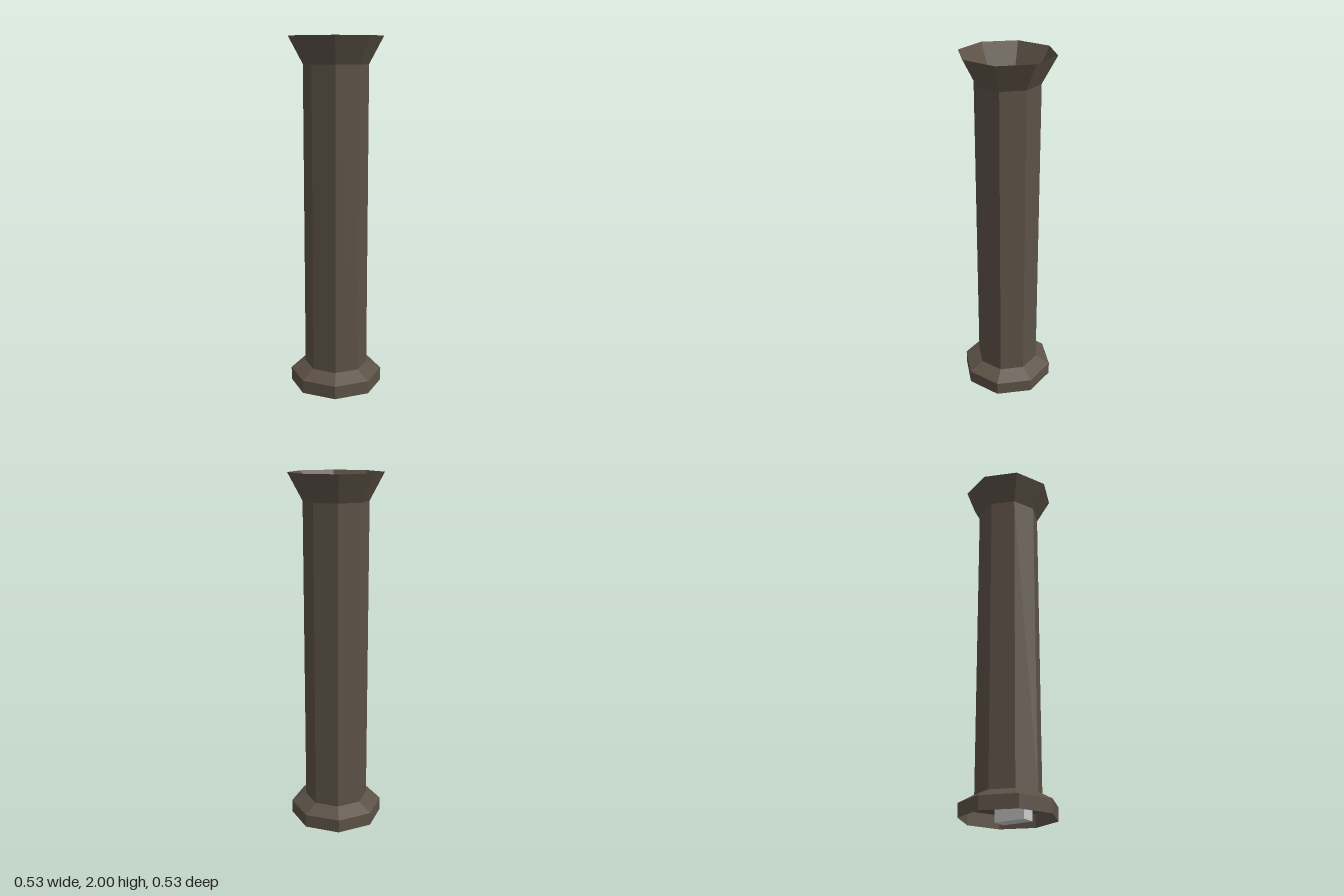
import * as THREE from 'three';

export function createModel() {
  const model = new THREE.Group();
  model.name = 'column';

  const stone = new THREE.MeshStandardMaterial({ color: 0x5c5146, flatShading: true, side: THREE.DoubleSide });
  stone.name = 'brown stone';
  const grey = new THREE.MeshStandardMaterial({ color: 0xcccccc });
  grey.name = 'light grey';

  // Open eight-sided section with corners on the x and z axes; profile is [radius, y]
  const section = (name, profile) => {
    const points = profile.map(([r, y]) => new THREE.Vector2(r, y));
    const mesh = new THREE.Mesh(new THREE.LatheGeometry(points, 8), stone);
    mesh.name = name;
    model.add(mesh);
  };

  section('base', [[0.264, 0.005], [0.264, 0.08], [0.18, 0.125]]);
  section('shaft', [[0.18, 0.125], [0.18, 1.85]]);
  section('flaredCapital', [[0.18, 1.85], [0.26, 2]]);

  // Small block standing inside the hollow shaft
  const height = 0.3;
  const block = new THREE.Mesh(new THREE.BoxGeometry(0.182, height, 0.081), grey);
  block.name = 'innerBlock';
  block.position.set(0, height / 2, 0.046);
  block.rotation.y = 0.008;
  model.add(block);

  return model;
}
